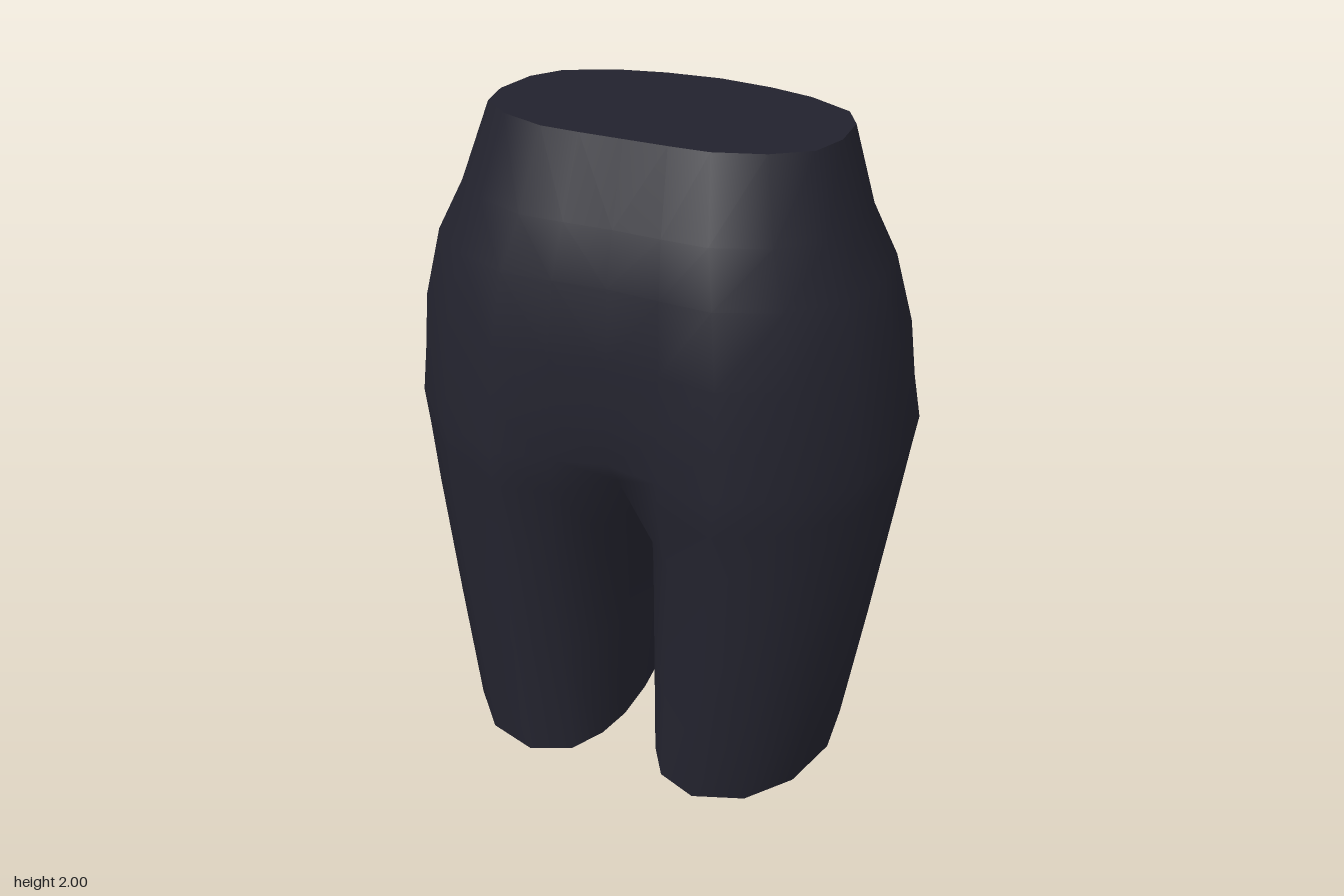
import * as THREE from 'three';
import { mergeVertices } from 'three/addons/utils/BufferGeometryUtils.js';

// Half outlines [x, z], from centre front round the +x side to centre back
const WAIST = [[0, .27], [.12, .27], [.23, .265], [.36, .21], [.455, .12], [.485, -.01],
  [.475, -.17], [.425, -.28], [.29, -.37], [.16, -.41], [0, -.43]];
const HIP = [[0, .41], [.16, .44], [.33, .47], [.51, .39], [.66, .24], [.735, .04],
  [.72, -.16], [.6, -.33], [.4, -.455], [.2, -.45], [0, -.43]];
// Closed leg outlines: same order, then three inner points back to front
const THIGH = [[.09, .3], [.18, .41], [.32, .455], [.49, .39], [.63, .24], [.695, .05], [.68, -.15],
  [.57, -.32], [.38, -.415], [.2, -.39], [.09, -.3], [.03, -.16], [.01, 0], [.03, .17]];
const HEM = [[.09, .29], [.15, .39], [.27, .44], [.42, .39], [.53, .26], [.585, .08], [.575, -.09],
  [.48, -.24], [.33, -.31], [.17, -.28], [.08, -.2], [.055, -.08], [.05, .04], [.06, .18]];
// Crotch seam on the centre plane [y, z]: front, back, then underneath back to front
const SEAM = { 0: [1.02, .34], 10: [1, -.37], 11: [.93, -.2], 12: [.88, -.03], 13: [.92, .16] };

// Body levels: y, half width, front z, back z, blend from waist to hip shape
const LEVELS = [[1.968, .485, .27, -.43, 0], [1.76, .555, .355, -.44, .2], [1.62, .63, .41, -.455, .4],
  [1.42, .687, .443, -.467, .6], [1.25, .71, .455, -.457, .8], [1.11, .735, .468, -.456, 1]];

const lerp = THREE.MathUtils.lerp;

function bodyRing([y, w, front, back, t]) {
  return WAIST.map(([wx, wz], i) => {
    const x = lerp(wx / .485, HIP[i][0] / .735, t) * w;
    const n = lerp((wz + .43) / .7, (HIP[i][1] + .455) / .925, t);
    // the waist plane slopes down toward the back
    return [x, y + (n - .6) * .08 * (1 - t), lerp(back, front, n)];
  });
}

function crotchRing() {
  return THIGH.map((p, i) => {
    if (SEAM[i]) return [0, ...SEAM[i]];
    const [x, z] = HIP[i];
    return [x * .98, 1, z < 0 ? z * .96 : z];
  });
}

const legRing = (y, t) => THIGH.map(([x, z], i) => [lerp(x, HEM[i][0], t), y, lerp(z, HEM[i][1], t)]);

function geometryFrom(triangles) {
  const geo = new THREE.BufferGeometry();
  geo.setAttribute('position', new THREE.Float32BufferAttribute(triangles.flat(2), 3));
  const merged = mergeVertices(geo, 1e-4);
  merged.computeVertexNormals();
  return merged;
}

const mirror = ([x, y, z]) => [-x, y, z];
const mirrored = tris => tris.map(([a, b, c]) => [mirror(a), mirror(c), mirror(b)]);

// Quads between two rings, split into triangles facing outward
function strip(upper, lower, closed) {
  const tris = [];
  const count = closed ? upper.length : upper.length - 1;
  for (let i = 0; i < count; i++) {
    const j = (i + 1) % upper.length;
    tris.push([lower[i], lower[j], upper[j]], [lower[i], upper[j], upper[i]]);
  }
  return tris;
}

function fan(ring, up) {
  const c = [0, 1, 2].map(k => ring.reduce((s, p) => s + p[k], 0) / ring.length);
  return ring.map((p, i) => {
    const q = ring[(i + 1) % ring.length];
    return up ? [c, p, q] : [c, q, p];
  });
}

export function createModel() {
  const model = new THREE.Group();
  const fabric = new THREE.MeshStandardMaterial({ color: 0x23232e, side: THREE.DoubleSide });
  fabric.name = 'dark navy fabric';
  const add = (name, tris) => {
    const mesh = new THREE.Mesh(geometryFrom(tris), fabric);
    mesh.name = name;
    model.add(mesh);
  };

  // Seat and both legs as one smooth garment surface
  const body = LEVELS.map(bodyRing);
  const crotch = crotchRing();
  const legs = [crotch, legRing(.8, 0), legRing(.4, .48), legRing(0, 1)];
  const half = [];
  const upper = [...body, crotch.slice(0, 11)];
  for (let i = 0; i < upper.length - 1; i++) half.push(...strip(upper[i], upper[i + 1], false));
  for (let i = 0; i < legs.length - 1; i++) half.push(...strip(legs[i], legs[i + 1], true));
  add('shorts', [...half, ...mirrored(half)]);

  // Flat closing faces at the waist and the two hems
  const waist = [...body[0], ...body[0].slice(1, -1).reverse().map(mirror)];
  add('waistCap', fan(waist, true));
  const hem = fan(legs[3], false);
  add('leftHemCap', hem);
  add('rightHemCap', mirrored(hem));
  return model;
}
